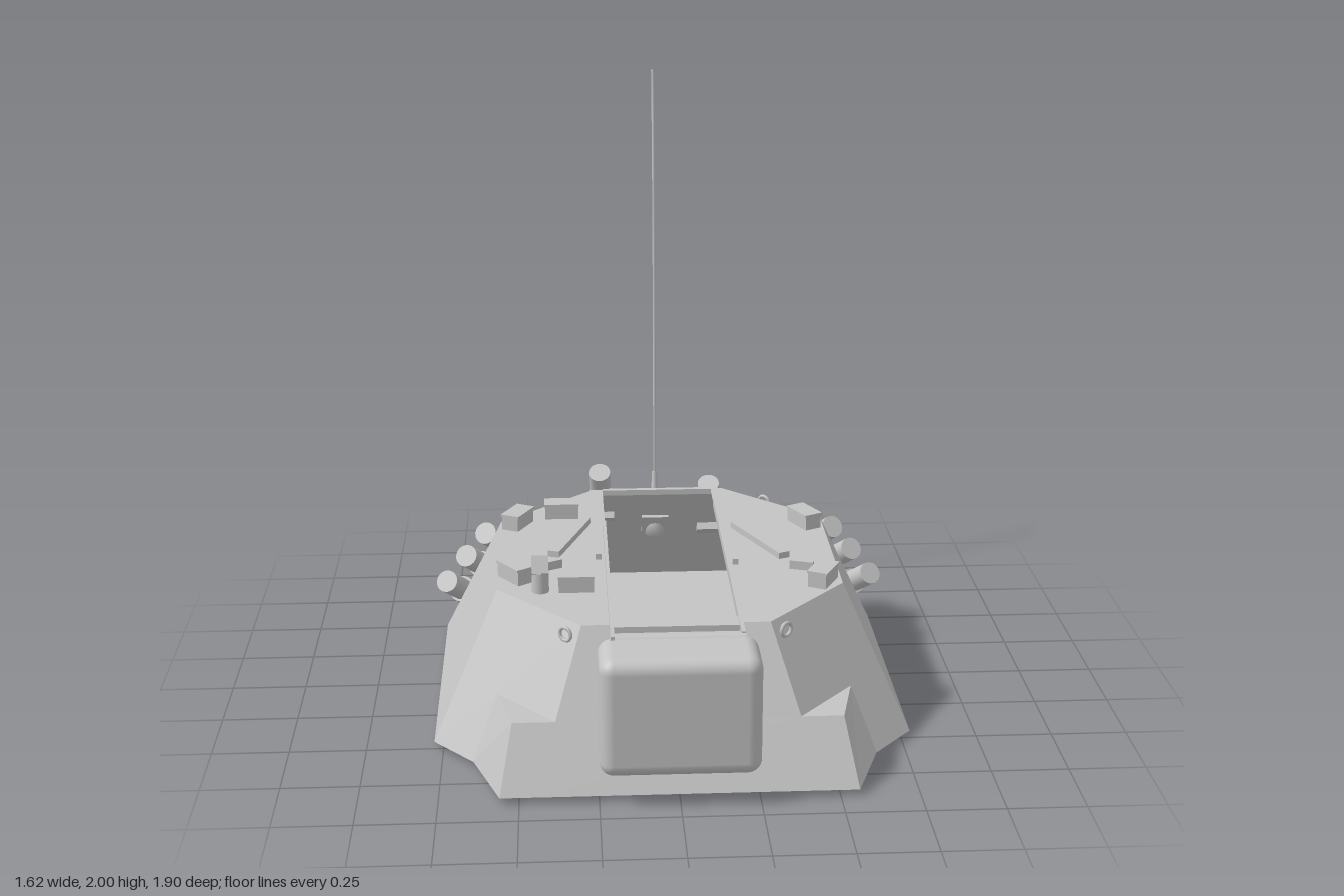
import * as THREE from 'three';
import { RoundedBoxGeometry } from 'three/addons/geometries/RoundedBoxGeometry.js';

const paint = new THREE.MeshStandardMaterial({ color: 0xc4c4c4, side: THREE.DoubleSide });
paint.name = 'light grey paint';

const V = (x, y, z) => new THREE.Vector3(x, y, z);

// Flat-faced shell from a list of convex polygons, each turned to face outward
function facets(polygons) {
  const middle = V(0, 0.2, 0), pos = [];
  for (const poly of polygons) {
    let p = poly.map(c => V(...c));
    const normal = p[1].clone().sub(p[0]).cross(p[2].clone().sub(p[0]));
    const centre = p.reduce((s, q) => s.add(q), V(0, 0, 0)).divideScalar(p.length);
    if (normal.dot(centre.sub(middle)) < 0) p.reverse();
    for (let i = 1; i < p.length - 1; i++)
      for (const q of [p[0], p[i], p[i + 1]]) pos.push(q.x, q.y, q.z);
  }
  const g = new THREE.BufferGeometry();
  g.setAttribute('position', new THREE.Float32BufferAttribute(pos, 3));
  g.computeVertexNormals();
  return g;
}

const mirror = poly => poly.map(([x, y, z]) => [-x, y, z]);

// Horizontal sheet from x, z points
function sheet(points, y) {
  const g = new THREE.ShapeGeometry(new THREE.Shape(points.map(([x, z]) => new THREE.Vector2(x, -z))));
  g.rotateX(-Math.PI / 2);
  g.translate(0, y, 0);
  return g;
}

function add(parent, name, geometry, x = 0, y = 0, z = 0, turn = 0) {
  const m = new THREE.Mesh(geometry, paint);
  m.name = name;
  m.position.set(x, y, z);
  m.rotation.y = turn;
  parent.add(m);
  return m;
}

// Cylinder running from a to b
function rod(parent, name, a, b, r, r2 = r, sides = 20) {
  const dir = b.clone().sub(a);
  const m = add(parent, name, new THREE.CylinderGeometry(r2, r, dir.length(), sides));
  m.position.copy(a).lerp(b, 0.5);
  m.quaternion.setFromUnitVectors(V(0, 1, 0), dir.normalize());
  return m;
}

// Discharger tube with collar and breech cap
function launcher(parent, name, a, b, r) {
  const g = new THREE.Group();
  g.name = name;
  const at = t => a.clone().lerp(b, t);
  rod(g, 'barrel', at(0.14), b, r);
  rod(g, 'collar', at(0.2), at(0.32), r * 1.2);
  rod(g, 'breech', a, at(0.16), r * 0.85);
  parent.add(g);
}

export function createModel() {
  const model = new THREE.Group();
  model.name = 'turret';
  const top = 0.48, low = 0.02, mid = 0.22;

  // Armour walls with the flared front corners
  const half = [
    [[0.57, top, -0.31], [0.57, top, 0.32], [0.78, low, 0.49], [0.78, low, -0.47]],
    [[0.24, top, -0.63], [0.57, top, -0.31], [0.78, low, -0.47], [0.29, low, -0.95]],
    [[0.57, top, 0.32], [0.3, top, 0.63], [0.43, low, 0.89], [0.78, low, 0.49]],
    [[0.2, top, 0.63], [0.3, top, 0.63], [0.385, mid, 0.777], [0.2, mid, 0.777]],
    [[0.385, mid, 0.777], [0.52, mid, 0.777], [0.57, mid, 0.56]],
    [[0.385, mid, 0.777], [0.52, mid, 0.777], [0.56, low, 0.89], [0.43, low, 0.89]],
    [[0.52, mid, 0.777], [0.57, mid, 0.56], [0.65, low, 0.635], [0.56, low, 0.89]],
  ];
  add(model, 'armourWalls', facets([
    ...half, ...half.map(mirror),
    [[-0.24, top, -0.63], [0.24, top, -0.63], [0.29, low, -0.95], [-0.29, low, -0.95]],
    [[-0.385, mid, 0.777], [0.385, mid, 0.777], [0.43, low, 0.89], [-0.43, low, 0.89]],
  ]));

  // Roof with the long open slot, and the floor
  const roofSide = [[0.2, -0.59], [0.2, 0.63], [0.3, 0.63], [0.57, 0.32], [0.57, -0.31], [0.24, -0.63]];
  const floorSide = [[0.56, 0.89], [0.65, 0.635], [0.78, 0.49], [0.78, -0.47], [0.29, -0.95]];
  const both = side => [...side, ...side.map(([x, z]) => [-x, z]).reverse()];
  add(model, 'roof', sheet(both(roofSide), top));
  add(model, 'floor', sheet(both(floorSide), low));

  // Bearing ring underneath
  add(model, 'bearingRing', new THREE.CylinderGeometry(0.71, 0.71, 0.02, 64, 1, true), 0, 0.01, 0.03);
  const lip = new THREE.RingGeometry(0.69, 0.71, 64);
  lip.rotateX(Math.PI / 2);
  add(model, 'bearingLip', lip, 0, 0.001, 0.03);
  add(model, 'bearingInside', new THREE.CylinderGeometry(0.69, 0.69, 0.02, 64, 1, true), 0, 0.01, 0.03);

  // Slot rails and cross bars
  add(model, 'leftRail', new THREE.BoxGeometry(0.012, 0.03, 1.2), 0.203, 0.49, 0.16);
  add(model, 'rightRail', new THREE.BoxGeometry(0.012, 0.03, 1.02), -0.203, 0.49, 0.27);
  add(model, 'frontCrossBar', new THREE.BoxGeometry(0.4, 0.02, 0.07), 0, 0.487, 0.655);
  add(model, 'rearCrossBar', new THREE.BoxGeometry(0.4, 0.02, 0.02), 0, 0.485, -0.59);

  // Gun shield
  add(model, 'gunShield', new RoundedBoxGeometry(0.5, 0.39, 0.22, 5, 0.045), 0, 0.297, 0.84);
  rod(model, 'shieldLip', V(-0.21, 0.475, 0.755), V(0.21, 0.475, 0.755), 0.025);

  // Periscopes: x, z, turn
  for (const [x, z, turn] of [[-0.355, -0.36, 0], [-0.51, -0.275, 1.1], [-0.51, 0.23, -0.95],
    [-0.31, 0.33, 0], [0.505, -0.235, -1.1], [0.505, 0.31, 1.1]]) {
    add(model, 'periscope', new THREE.BoxGeometry(0.118, 0.05, 0.062), x, 0.505, z, turn);
    add(model, 'periscopeHood', new THREE.BoxGeometry(0.122, 0.008, 0.07), x, 0.532, z, turn);
  }

  // Sight head
  rod(model, 'sightBase', V(-0.428, top, 0.34), V(-0.428, 0.55, 0.34), 0.028);
  const head = add(model, 'sightHead', new THREE.BoxGeometry(0.055, 0.06, 0.045), -0.428, 0.57, 0.34);
  head.rotation.x = -0.5;

  // Hatch bars and hinges on the roof
  const bar = (name, x1, z1, x2, z2, w, h) => add(model, name,
    new THREE.BoxGeometry(w, h, Math.hypot(x2 - x1, z2 - z1)),
    (x1 + x2) / 2, top + h / 2, (z1 + z2) / 2, Math.atan2(x2 - x1, z2 - z1));
  bar('hatchBar', -0.27, -0.29, -0.385, 0.04, 0.04, 0.022);
  bar('hatchBar', 0.26, -0.22, 0.4, 0.09, 0.04, 0.022);
  bar('hatchHandle', -0.425, 0.165, -0.36, 0.13, 0.018, 0.03);
  bar('hatchHandle', 0.41, 0.18, 0.485, 0.205, 0.018, 0.03);
  bar('latch', -0.24, 0.065, -0.22, 0.065, 0.01, 0.02);
  bar('latch', 0.22, 0.135, 0.24, 0.135, 0.01, 0.02);

  for (const s of [-1, 1]) {
    // Side discharger banks
    for (const [x, y, z] of [[0.56, 0.295, -0.56], [0.632, 0.205, -0.57], [0.705, 0.105, -0.575]])
      launcher(model, 'sideLauncher', V(s * x, y, z), V(s * (x + 0.07), y + 0.11, z + 0.16), 0.04);
    rod(model, 'launcherBracket', V(s * 0.55, 0.3, -0.51), V(s * 0.7, 0.12, -0.53), 0.025, 0.025, 8);

    // Lifting eyes
    add(model, 'frontLiftingEye', new THREE.TorusGeometry(0.022, 0.006, 8, 16), s * 0.35, 0.45, 0.625, s * 0.7);
    add(model, 'rearLiftingEye', new THREE.TorusGeometry(0.022, 0.006, 8, 16), s * 0.39, 0.46, -0.525, -s * 0.7);
  }

  // Rear dischargers
  launcher(model, 'rearLauncher', V(-0.2, 0.37, -0.785), V(-0.21, 0.535, -0.67), 0.04);
  launcher(model, 'rearLauncher', V(0.215, 0.3, -0.84), V(0.2, 0.465, -0.725), 0.04);
  for (const [x, y, z] of [[-0.205, 0.36, -0.745], [0.21, 0.29, -0.79]]) {
    const m = add(model, 'rearBracket', new THREE.BoxGeometry(0.1, 0.08, 0.06), x, y, z);
    m.rotation.x = -0.6;
  }

  // Whip aerial on its insulator
  const plate = add(model, 'aerialPlate', new THREE.BoxGeometry(0.1, 0.02, 0.1), 0, 0.3, -0.755);
  plate.rotation.x = -0.95;
  const profile = [[0, 0.24], [0.035, 0.25], [0.036, 0.3], [0.02, 0.325], [0.036, 0.345], [0.03, 0.375],
    [0.013, 0.395], [0.01, 0.5], [0, 0.5]].map(p => new THREE.Vector2(...p));
  add(model, 'aerialBase', new THREE.LatheGeometry(profile, 20), 0, 0, -0.775);
  const curve = new THREE.CatmullRomCurve3([[0.4, -0.775], [0.7, -0.775], [1, -0.78], [1.4, -0.802],
    [1.7, -0.833], [2, -0.885]].map(([y, z]) => V(0, y, z)));
  add(model, 'aerial', new THREE.TubeGeometry(curve, 40, 0.005, 8));

  return model;
}
